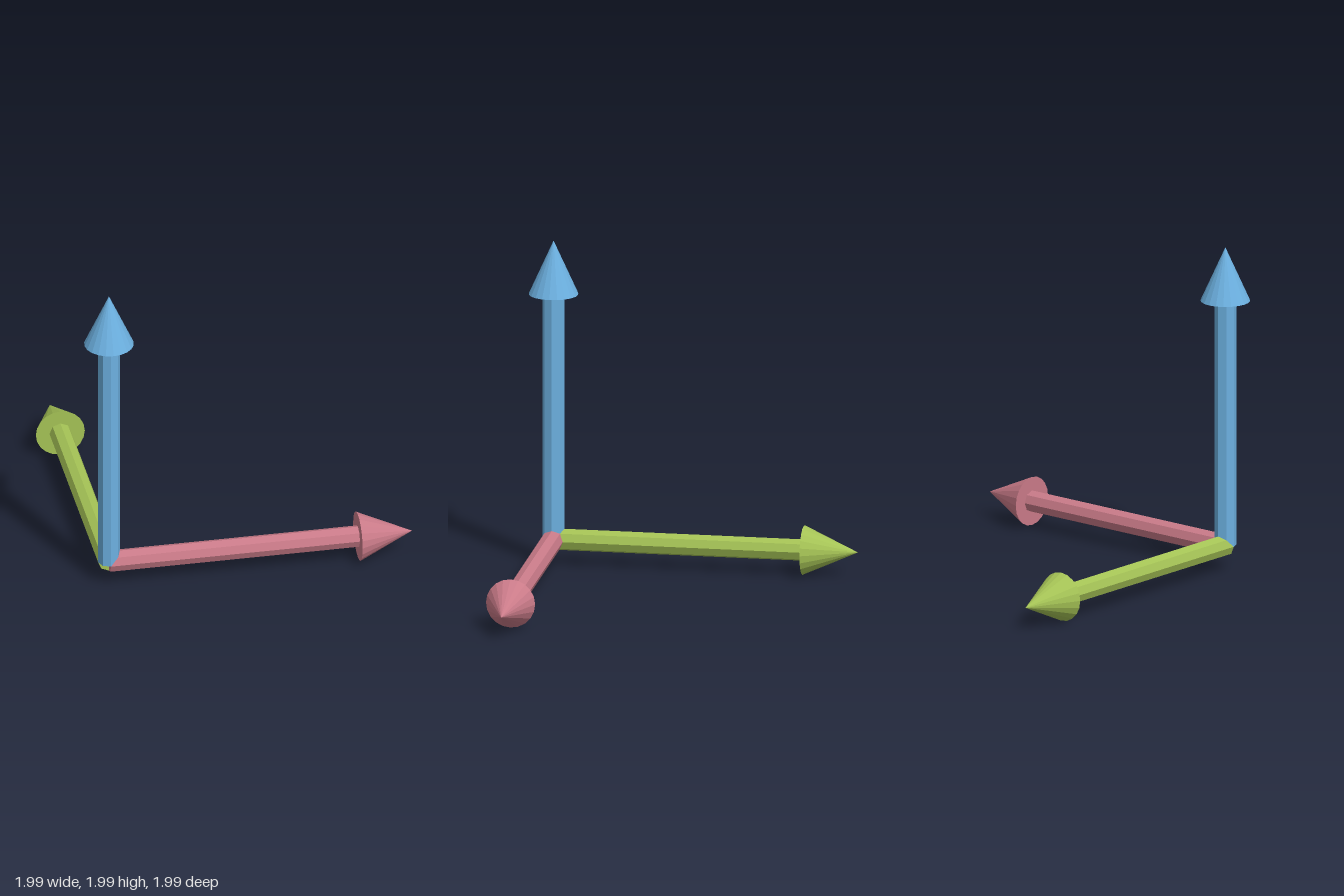
import * as THREE from 'three';

const SHAFT_RADIUS = 0.066, SHAFT_LENGTH = 1.515;
const HEAD_RADIUS = 0.149, HEAD_LENGTH = 0.33;

// One arrow pointing up +y from its own origin
function makeArrow(name, color) {
  const material = new THREE.MeshStandardMaterial({ color, flatShading: true });
  const arrow = new THREE.Group();
  arrow.name = name;

  // Eight-sided shaft
  const shaft = new THREE.Mesh(
    new THREE.CylinderGeometry(SHAFT_RADIUS, SHAFT_RADIUS, SHAFT_LENGTH, 8), material);
  shaft.position.y = SHAFT_LENGTH / 2;
  shaft.name = name + 'Shaft';

  // Faceted cone head
  const head = new THREE.Mesh(
    new THREE.ConeGeometry(HEAD_RADIUS, HEAD_LENGTH, 20), material);
  head.position.y = SHAFT_LENGTH + HEAD_LENGTH / 2;
  head.name = name + 'Head';

  arrow.add(shaft, head);
  return arrow;
}

export function createModel() {
  const model = new THREE.Group();
  model.name = 'axisArrows';

  // Three arrows meeting at one corner
  const up = makeArrow('upArrow', 0x6cb0e0);
  const side = makeArrow('sideArrow', 0xc97a88);
  side.rotation.z = -Math.PI / 2;
  const back = makeArrow('backArrow', 0xa4c255);
  back.rotation.x = -Math.PI / 2;

  for (const arrow of [up, side, back]) {
    arrow.position.set(-0.85, 0.153, 0.85);
    model.add(arrow);
  }
  return model;
}
